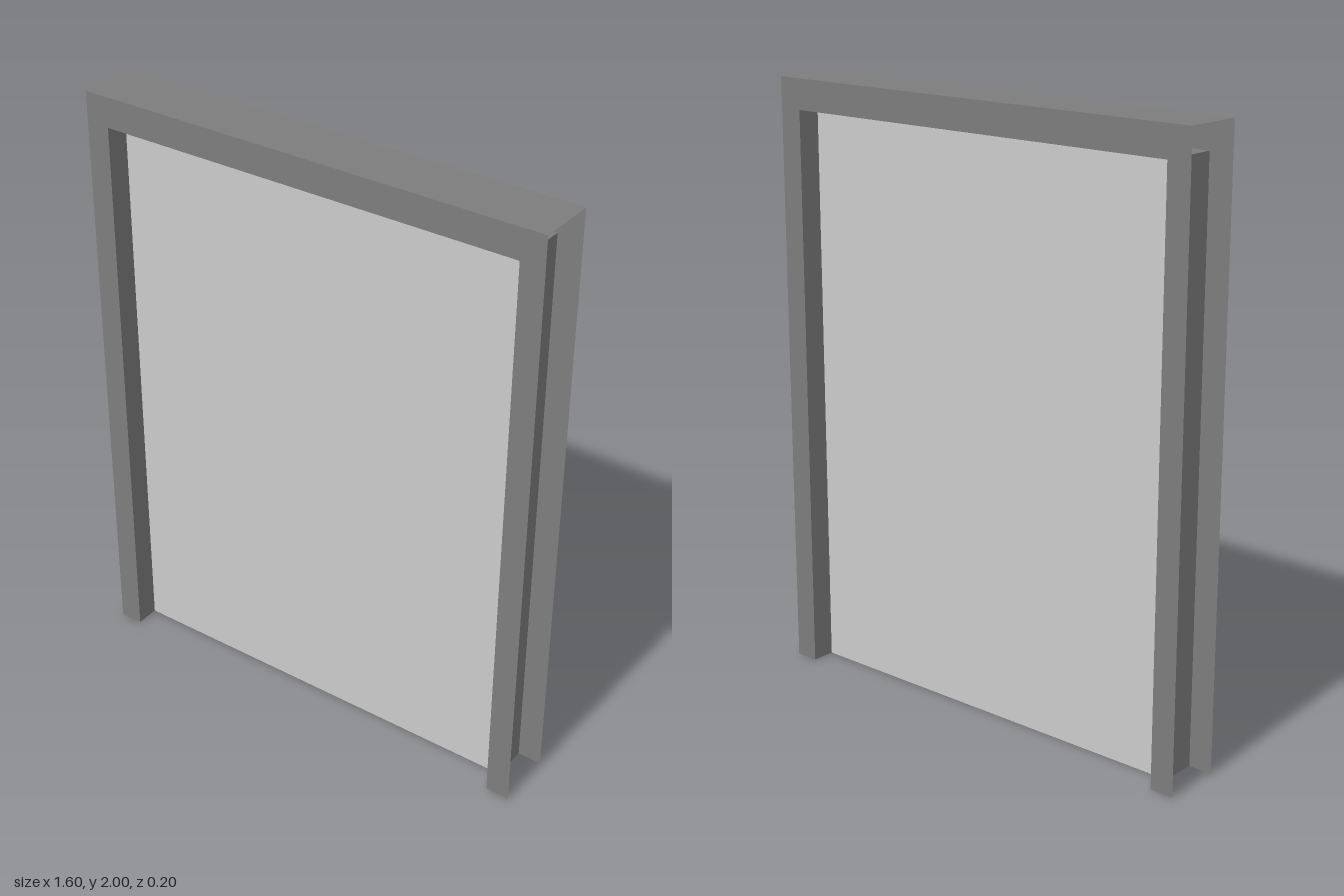
import * as THREE from 'three';

const HALF_W = 0.8, TOP = 2;          // outer frame
const OPEN_W = 0.72, OPEN_TOP = 1.9;  // clear opening
const DEPTH = 0.2, PANEL_T = 0.04;

export function createModel() {
  const model = new THREE.Group();
  const frameMat = new THREE.MeshStandardMaterial({ color: 0x7d7d7d, side: THREE.DoubleSide });
  const panelMat = new THREE.MeshStandardMaterial({ color: 0xcccccc });

  const add = (name, geometry, material, x, y, z) => {
    const mesh = new THREE.Mesh(geometry, material);
    mesh.name = name;
    mesh.position.set(x, y, z);
    model.add(mesh);
    return mesh;
  };

  // U-shaped sheet-metal face around the opening, front and back
  const face = new THREE.Shape([
    [-HALF_W, 0], [-OPEN_W, 0], [-OPEN_W, OPEN_TOP], [OPEN_W, OPEN_TOP],
    [OPEN_W, 0], [HALF_W, 0], [HALF_W, TOP], [-HALF_W, TOP],
  ].map(([x, y]) => new THREE.Vector2(x, y)));
  const faceGeo = new THREE.ShapeGeometry(face);
  add('frontFace', faceGeo, frameMat, 0, 0, DEPTH / 2);
  add('backFace', faceGeo, frameMat, 0, 0, -DEPTH / 2).rotation.y = Math.PI;

  // Jamb webs facing the opening; the channels stay open on their outer sides
  for (const side of [1, -1]) {
    const jamb = add(side > 0 ? 'leftJamb' : 'rightJamb',
      new THREE.PlaneGeometry(DEPTH, OPEN_TOP), frameMat, side * OPEN_W, OPEN_TOP / 2, 0);
    jamb.rotation.y = -side * Math.PI / 2;
  }

  // Header: soffit above the opening and full-width top
  add('headerSoffit', new THREE.PlaneGeometry(OPEN_W * 2, DEPTH), frameMat, 0, OPEN_TOP, 0).rotation.x = Math.PI / 2;
  add('headerTop', new THREE.PlaneGeometry(HALF_W * 2, DEPTH), frameMat, 0, TOP, 0).rotation.x = -Math.PI / 2;

  // Door panel, centred in the frame depth
  add('doorPanel', new THREE.BoxGeometry(OPEN_W * 2, OPEN_TOP, PANEL_T), panelMat, 0, OPEN_TOP / 2, 0);

  return model;
}
